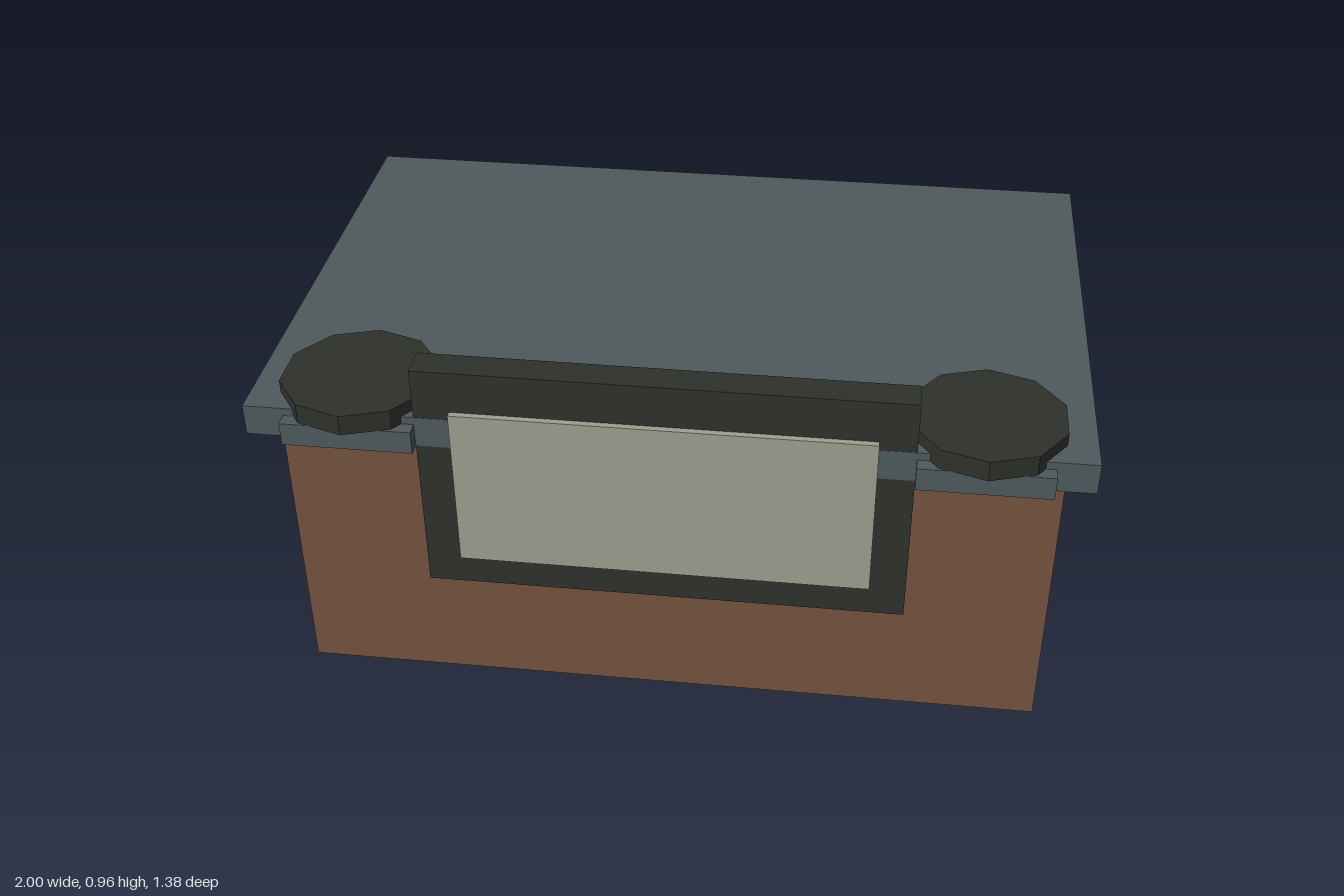
import * as THREE from 'three';

const material = (color) => new THREE.MeshStandardMaterial({ color, flatShading: true });

export function createModel() {
  const group = new THREE.Group();
  const brown = material(0x75523f);
  const slate = material(0x4f5a5d);
  const dark = material(0x2f312c);
  const pale = material(0xa09e90);

  const add = (name, geometry, mat) => {
    const mesh = new THREE.Mesh(geometry, mat);
    mesh.name = name;
    group.add(mesh);
    return mesh;
  };

  // Box given by its minimum and maximum corners
  const box = (name, mat, [x0, y0, z0], [x1, y1, z1]) =>
    add(name, new THREE.BoxGeometry(x1 - x0, y1 - y0, z1 - z0), mat)
      .position.set((x0 + x1) / 2, (y0 + y1) / 2, (z0 + z1) / 2);

  // Main block and overhanging lid
  box('body', brown, [-0.935, 0, -0.627], [0.935, 0.75, 0.567]);
  box('lid', slate, [-1, 0.75, -0.69], [1, 0.83, 0.628]);

  // Front panel with its raised pale plate
  box('panelFrame', dark, [-0.587, 0.343, 0.548], [0.587, 0.96, 0.627]);
  box('panelPlate', pale, [-0.5, 0.428, 0.6], [0.5, 0.852, 0.643]);

  // Corner ledges and ten-sided discs, mirrored
  for (const [side, s] of [['left', 1], ['right', -1]]) {
    const xs = [s * 0.587, s * 0.903].sort((a, b) => a - b);
    box(`${side}Ledge`, slate, [xs[0], 0.75, 0.58], [xs[1], 0.81, 0.662]);
    add(`${side}Disc`, new THREE.CylinderGeometry(0.19, 0.19, 0.052, 10), dark)
      .position.set(s * 0.747, 0.836, 0.5);
  }

  return group;
}
